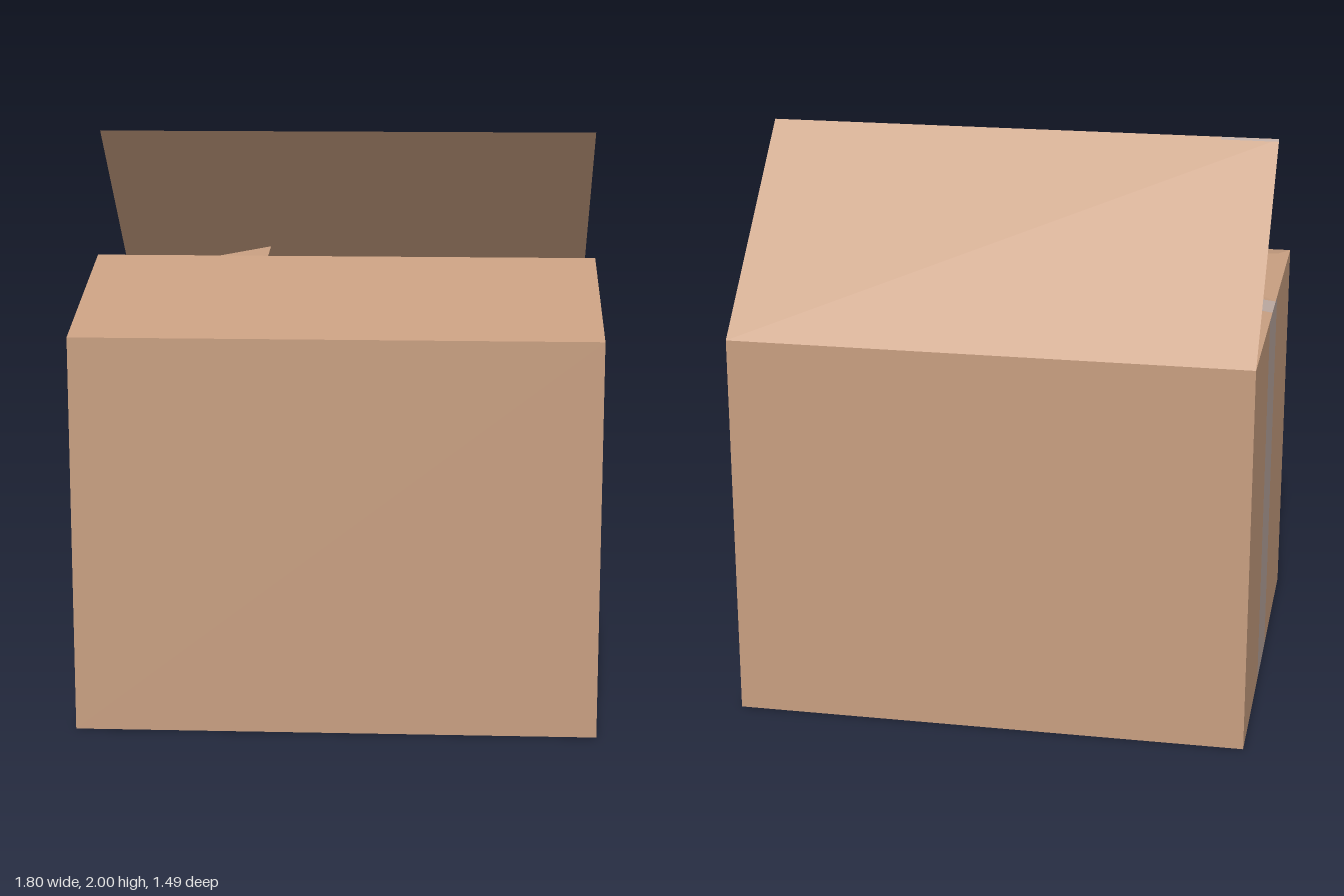
import * as THREE from 'three';

const W = 0.9, D = 0.745, H = 1.38;

const cardboard = new THREE.MeshStandardMaterial({ color: 0xc79e80, side: THREE.DoubleSide });
cardboard.name = 'cardboard';
const tape = new THREE.MeshStandardMaterial({ color: 0xb9a69e, side: THREE.DoubleSide });
tape.name = 'packing tape';

// Flat or slightly warped sheet with corners a, b, c, d in order
function sheet(name, material, a, b, c, d) {
  const geometry = new THREE.BufferGeometry();
  geometry.setAttribute('position', new THREE.Float32BufferAttribute([a, b, c, a, c, d].flat(), 3));
  geometry.computeVertexNormals();
  const mesh = new THREE.Mesh(geometry, material);
  mesh.name = name;
  return mesh;
}

// Point on the edge p-q that lies at depth z
function atDepth(p, q, z) {
  const t = (z - p[2]) / (q[2] - p[2]);
  return p.map((v, i) => v + (q[i] - v) * t);
}

// Panel with a tape strip running across it from edge a-b to edge d-c
function tapedPanel(name, a, b, c, d, z0, z1) {
  const group = new THREE.Group();
  group.name = name;
  const depths = [a[2], z0, z1, b[2]];
  for (let i = 0; i < 3; i++) {
    const p = i === 0 ? a : atDepth(a, b, depths[i]);
    const q = i === 2 ? b : atDepth(a, b, depths[i + 1]);
    const r = i === 2 ? c : atDepth(d, c, depths[i + 1]);
    const s = i === 0 ? d : atDepth(d, c, depths[i]);
    group.add(sheet(i === 1 ? name + 'Tape' : name + 'Card', i === 1 ? tape : cardboard, p, q, r, s));
  }
  return group;
}

export function createModel() {
  const box = new THREE.Group();
  box.name = 'openCardboardBox';

  // Front and back walls, outward facing
  for (const [name, s] of [['frontWall', 1], ['backWall', -1]]) {
    box.add(sheet(name, cardboard,
      [-s * W, 0, s * D], [s * W, 0, s * D], [s * W, H, s * D], [-s * W, H, s * D]));
  }

  // Side walls and floor carry the wide tape
  box.add(tapedPanel('leftWall', [W, H, -D], [W, H, D], [W, 0, D], [W, 0, -D], -0.19, 0.11));
  box.add(tapedPanel('rightWall', [-W, 0, -D], [-W, 0, D], [-W, H, D], [-W, H, -D], -0.19, 0.11));
  box.add(tapedPanel('floor', [W, 0, -D], [W, 0, D], [-W, 0, D], [-W, 0, -D], -0.19, 0.11));

  // Side flaps folded inwards; the one at -x is lifted at its back corner
  box.add(tapedPanel('leftFlap',
    [0.31, 1.376, -0.705], [0.31, 1.376, 0.705], [W, H, D], [W, H, -D], -0.09, 0.05));
  box.add(tapedPanel('rightFlap',
    [-W, H, -D], [-W, H, D], [-0.31, 1.375, 0.7], [-0.32, 1.51, -0.57], -0.09, 0.05));

  // Long flaps, the back one standing higher
  box.add(sheet('frontFlap', cardboard, [-W, H, D], [W, H, D], [W, 1.56, 0.04], [-W, 1.56, 0.04]));
  box.add(sheet('backFlap', cardboard, [W, H, -D], [-W, H, -D], [-W, 2, -0.07], [W, 2, -0.07]));

  // Scrap of tape on the edge of the back flap
  box.add(sheet('tapeScrap', tape,
    [-0.7, 1.993, -0.082], [-W, 1.993, -0.082], [-W, 2, -0.072], [-0.7, 2, -0.072]));

  return box;
}
